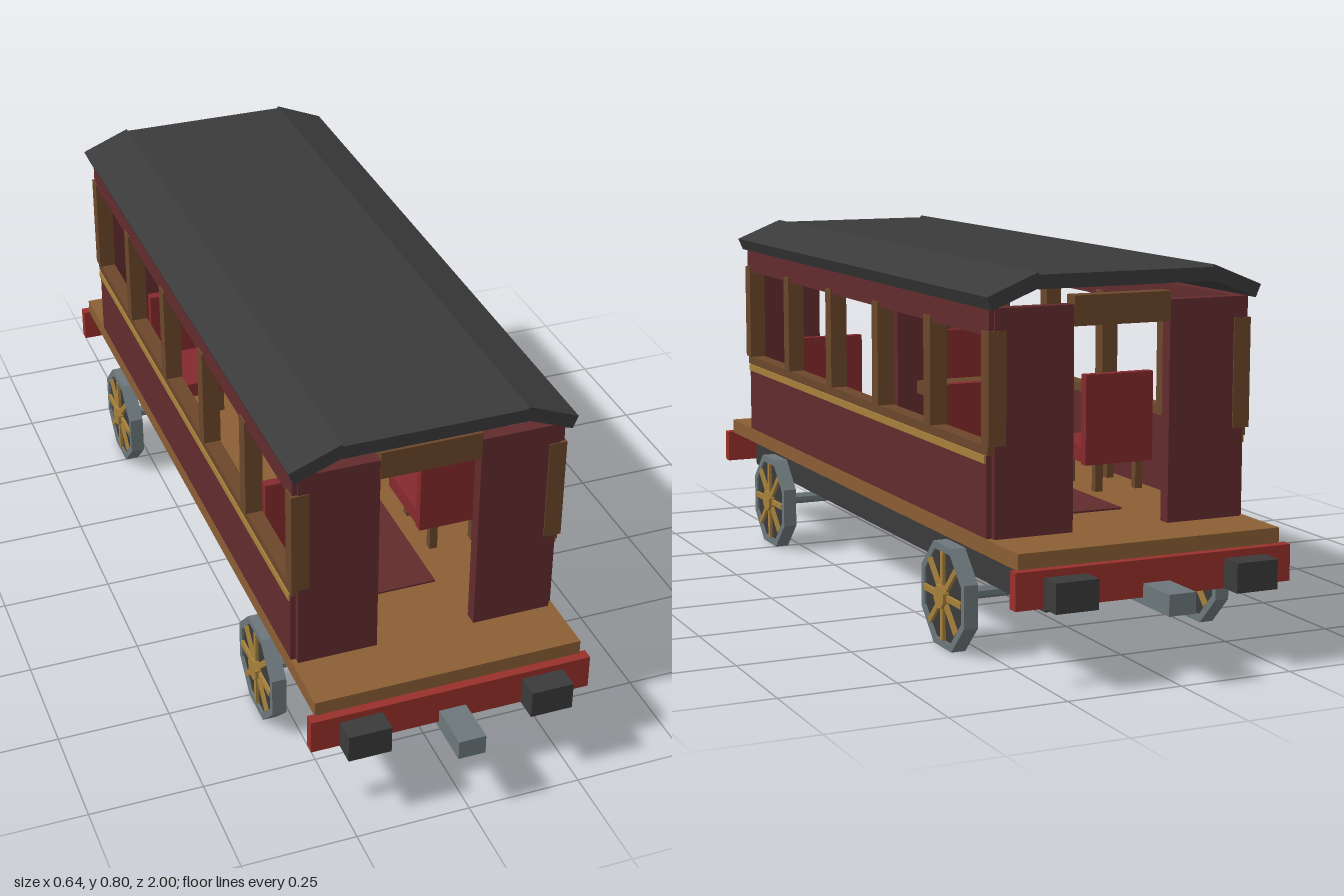
import * as THREE from 'three';

const mat = (name, color) => {
  const m = new THREE.MeshStandardMaterial({ color, flatShading: true });
  m.name = name;
  return m;
};

export function createModel() {
  const maroon = mat('maroon panel', 0x622b2d);
  const seatRed = mat('seat red', 0x84292d);
  const red = mat('beam red', 0x98302b);
  const plank = mat('plank brown', 0x8a5e34);
  const wood = mat('dark wood', 0x6b462a);
  const gold = mat('gold', 0xa5803a);
  const iron = mat('charcoal', 0x3a3a3a);
  const steel = mat('slate steel', 0x6c777b);

  const model = new THREE.Group();
  model.name = 'railwayCarriage';

  // box given by its lower and upper limits on each axis
  const box = (name, m, x0, x1, y0, y1, z0, z1, parent = model) => {
    const mesh = new THREE.Mesh(new THREE.BoxGeometry(x1 - x0, y1 - y0, z1 - z0), m);
    mesh.position.set((x0 + x1) / 2, (y0 + y1) / 2, (z0 + z1) / 2);
    mesh.name = name;
    parent.add(mesh);
    return mesh;
  };
  // same box on one side (sx) and one end (sz)
  const mirrored = (name, m, sx, sz, x0, x1, y0, y1, z0, z1) => box(name, m,
    Math.min(sx * x0, sx * x1), Math.max(sx * x0, sx * x1), y0, y1,
    Math.min(sz * z0, sz * z1), Math.max(sz * z0, sz * z1));

  // underframe and deck
  box('deck', plank, -0.297, 0.297, 0.233, 0.267, -0.875, 0.875);
  box('aisleCarpet', maroon, -0.09, 0.09, 0.267, 0.271, -0.58, 0.58);

  // body sides
  for (const s of [-1, 1]) {
    mirrored('chassisBeam', iron, s, 1, 0.205, 0.235, 0.143, 0.233, -0.87, 0.87);
    mirrored('lowerSidePanel', maroon, s, 1, 0.267, 0.296, 0.267, 0.437, -0.727, 0.727);
    mirrored('windowSill', wood, s, 1, 0.262, 0.297, 0.437, 0.456, -0.735, 0.735);
    mirrored('goldTrim', gold, s, 1, 0.293, 0.3, 0.42, 0.436, -0.725, 0.725);
    mirrored('upperRail', maroon, s, 1, 0.267, 0.296, 0.676, 0.732, -0.738, 0.738);
    for (let i = 0; i < 6; i++) {
      const z = -0.727 + i * 0.2908;
      mirrored('windowPillar', wood, s, 1, 0.261, 0.3, 0.456, 0.687, z - 0.0175, z + 0.0175);
    }
  }

  // carriage ends
  for (const e of [-1, 1]) {
    for (const s of [-1, 1]) {
      mirrored('endPanel', maroon, s, e, 0.11, 0.285, 0.267, 0.732, 0.712, 0.742);
      mirrored('buffer', iron, s, e, 0.156, 0.25, 0.158, 0.22, 0.89, 0.947);
    }
    mirrored('doorHeader', wood, 1, e, -0.11, 0.11, 0.688, 0.75, 0.709, 0.744);
    mirrored('bufferBeam', red, 1, e, -0.312, 0.312, 0.158, 0.235, 0.87, 0.895);
    mirrored('coupler', steel, 1, e, -0.03, 0.03, 0.143, 0.187, 0.7, 1);
    mirrored('couplerPlate', steel, 1, e, -0.16, 0.16, 0.175, 0.233, 0.5, 0.78);
  }

  // roof: flat middle and two sloping eaves
  const roofPart = (name, pts) => {
    const shape = new THREE.Shape(pts.map(([x, y]) => new THREE.Vector2(x, y)));
    const geo = new THREE.ExtrudeGeometry(shape, { depth: 1.524, bevelEnabled: false });
    geo.translate(0, 0, -0.762);
    const mesh = new THREE.Mesh(geo, iron);
    mesh.name = name;
    model.add(mesh);
  };
  roofPart('roofMiddle', [[-0.2, 0.768], [0.2, 0.768], [0.2, 0.797], [-0.2, 0.797]]);
  roofPart('roofEaveLeft', [[0.189, 0.774], [0.3, 0.73], [0.312, 0.757], [0.2, 0.802]]);
  roofPart('roofEaveRight', [[-0.2, 0.802], [-0.312, 0.757], [-0.3, 0.73], [-0.189, 0.774]]);

  // seats facing the table
  for (const [e, z] of [[1, 0.452], [-1, 0.38]]) {
    for (const s of [-1, 1]) {
      mirrored('seatBack', seatRed, s, e, 0.095, 0.262, 0.33, 0.532, z, z + 0.022);
      mirrored('seatCushion', seatRed, s, e, 0.095, 0.262, 0.335, 0.37, z - 0.16, z);
      for (const x of [0.125, 0.225]) {
        for (const d of [-0.14, -0.005]) {
          mirrored('seatLeg', wood, s, e, x, x + 0.018, 0.267, 0.335, z + d, z + d + 0.018);
        }
      }
    }
  }

  // table
  box('tableTop', wood, -0.105, 0.105, 0.438, 0.468, -0.107, 0.075);
  box('tableLeg', gold, -0.03, 0.03, 0.267, 0.438, -0.046, 0.014);

  // eight-sided wheels, built in the XY plane and turned to face sideways
  const R = 0.11 / Math.cos(Math.PI / 8);
  const octagon = (r) => Array.from({ length: 8 }, (_, i) => {
    const a = Math.PI / 8 + i * Math.PI / 4;
    return new THREE.Vector2(r * Math.cos(a), r * Math.sin(a));
  });
  const rimShape = new THREE.Shape(octagon(R));
  rimShape.holes.push(new THREE.Path(octagon(R * 0.86).reverse()));
  const rimGeo = new THREE.ExtrudeGeometry(rimShape, { depth: 0.032, bevelEnabled: false });
  rimGeo.translate(0, 0, -0.016);
  const cylinder = (r, h) => {
    const geo = new THREE.CylinderGeometry(r, r, h, 8);
    geo.rotateY(Math.PI / 8);
    geo.rotateX(Math.PI / 2);
    return geo;
  };
  const discGeo = cylinder(R * 0.88, 0.022);
  const hubGeo = cylinder(0.026, 0.05);
  const spokeGeo = new THREE.BoxGeometry(0.075, 0.013, 0.036);
  spokeGeo.translate(0.0575, 0, 0);

  for (const z of [-0.545, 0.545]) {
    for (const s of [-1, 1]) {
      const wheel = new THREE.Group();
      wheel.name = 'wheel';
      const add = (name, geo, m) => {
        const mesh = new THREE.Mesh(geo, m);
        mesh.name = name;
        wheel.add(mesh);
        return mesh;
      };
      add('wheelRim', rimGeo, steel);
      add('wheelDisc', discGeo, iron);
      add('wheelHub', hubGeo, gold);
      for (let i = 0; i < 8; i++) add('wheelSpoke', spokeGeo, gold).rotation.z = i * Math.PI / 4;
      wheel.rotation.y = s * Math.PI / 2;
      wheel.position.set(s * 0.297, 0.11, z);
      model.add(wheel);
    }
    const axle = new THREE.Mesh(cylinder(0.0135, 0.56), steel);
    axle.name = 'axle';
    axle.rotation.y = Math.PI / 2;
    axle.position.set(0, 0.11, z);
    model.add(axle);
  }

  return model;
}
